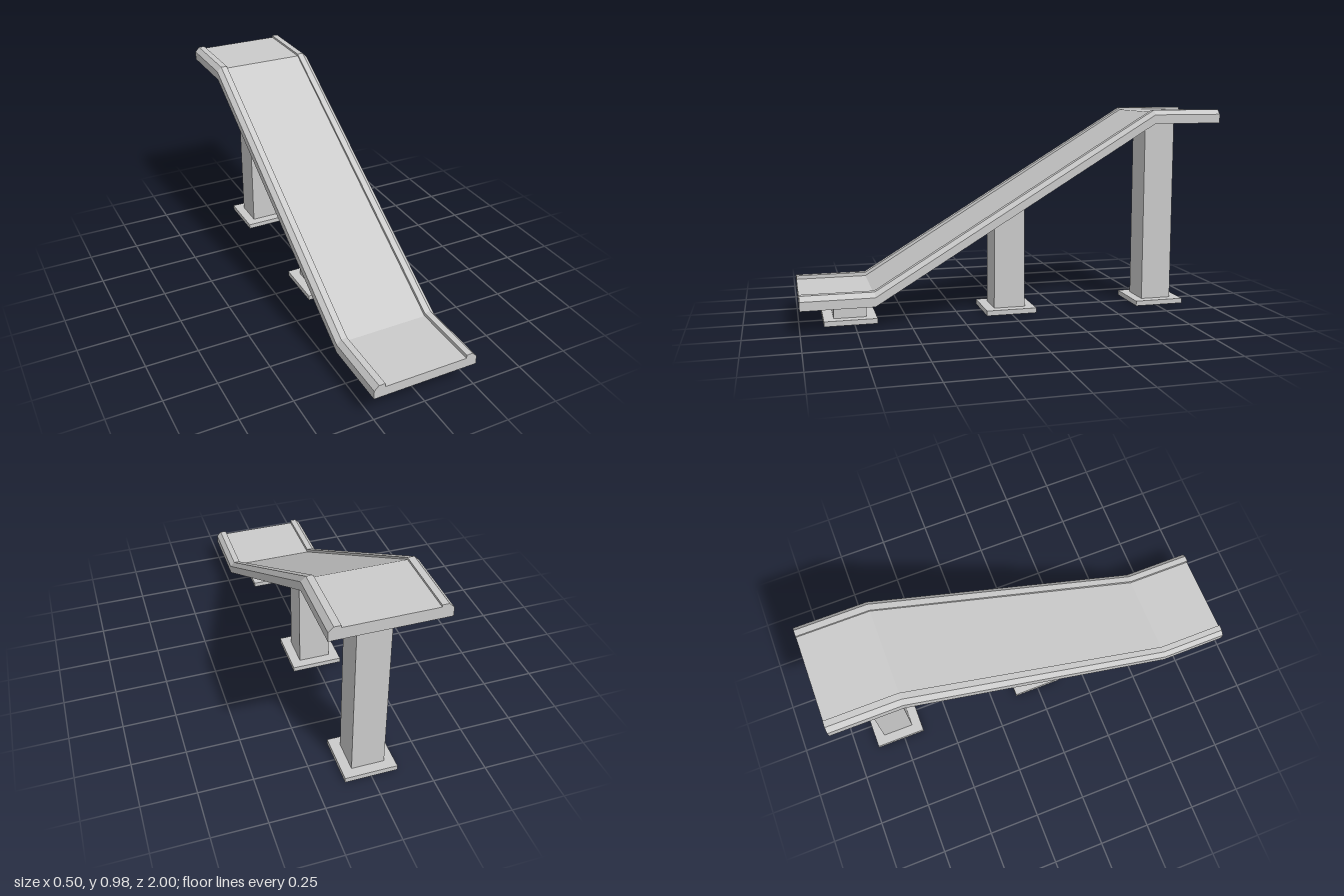
import * as THREE from 'three';

const KNEE = 2 / 3; // z where the ramp meets the level landings
const LOW = 0.112, RISE = 0.802, FLOOR = 0.047;

// share of the climb reached at z: 0 on the front landing, 1 on the back one
const climb = z => THREE.MathUtils.clamp((KNEE - z) / (2 * KNEE), 0, 1);
const underside = z => LOW + RISE * climb(z);

// open four-sided shell through rings of [halfX, halfZ, y or function of z]
function shell(rings, cz, material) {
  const corners = ([hx, hz, y]) => [[1, 1], [1, -1], [-1, -1], [-1, 1]].map(([sx, sz]) => {
    const z = cz + sz * hz;
    return [sx * hx, typeof y === 'function' ? y(z) : y, z];
  });
  const pos = [];
  for (let r = 0; r < rings.length - 1; r++) {
    const a = corners(rings[r]), b = corners(rings[r + 1]);
    for (let i = 0; i < 4; i++) {
      const j = (i + 1) % 4;
      pos.push(...a[i], ...a[j], ...b[j], ...a[i], ...b[j], ...b[i]);
    }
  }
  const geo = new THREE.BufferGeometry();
  geo.setAttribute('position', new THREE.Float32BufferAttribute(pos, 3));
  geo.computeVertexNormals();
  return new THREE.Mesh(geo, material);
}

export function createModel() {
  const model = new THREE.Group();
  const solid = new THREE.MeshStandardMaterial({ color: 0xcccccc, flatShading: true });
  const thin = new THREE.MeshStandardMaterial({ color: 0xcccccc, flatShading: true, side: THREE.DoubleSide });

  // deck: section with chamfered side rails, extruded in six bays so that cuts fall on the knees
  const half = [[0.252, 0], [0.252, 0.042], [0.23, 0.064], [0.2, 0.064], [0.2, FLOOR]];
  const section = [...half, ...half.map(([x, y]) => [-x, y]).reverse()];
  const shape = new THREE.Shape(section.map(([x, y]) => new THREE.Vector2(x, y)));
  const geo = new THREE.ExtrudeGeometry(shape, { depth: 2, steps: 6, bevelEnabled: false });
  geo.translate(0, 0, -1);

  // raise the bays into landing, ramp, landing; the floor climbs slightly more than the rails
  const p = geo.attributes.position;
  for (let i = 0; i < p.count; i++) {
    const y = p.getY(i), z = p.getZ(i);
    const extra = Math.abs(y - FLOOR) < 0.001 ? 0.007 * climb(z) : 0;
    p.setY(i, y + underside(z) + extra);
  }
  geo.computeVertexNormals();
  const deck = new THREE.Mesh(geo, solid);
  deck.name = 'rampDeck';
  model.add(deck);

  // hollow posts on open-bottomed foot plates; the middle one tapers slightly
  const T = 0.024;
  const posts = [
    ['front', 0.767, 0.076, 0.076],
    ['middle', 0, 0.077, 0.074],
    ['back', -0.767, 0.076, 0.076],
  ];
  for (const [name, z, baseZ, topZ] of posts) {
    const support = new THREE.Group();
    support.name = name + 'Support';
    const post = shell([[0.077, baseZ, T], [0.077, topZ, underside]], z, thin);
    post.name = name + 'Post';
    const foot = shell([[0.123, 0.123, 0], [0.123, 0.123, T], [0.077, baseZ, T]], z, thin);
    foot.name = name + 'FootPlate';
    support.add(post, foot);
    model.add(support);
  }
  return model;
}
